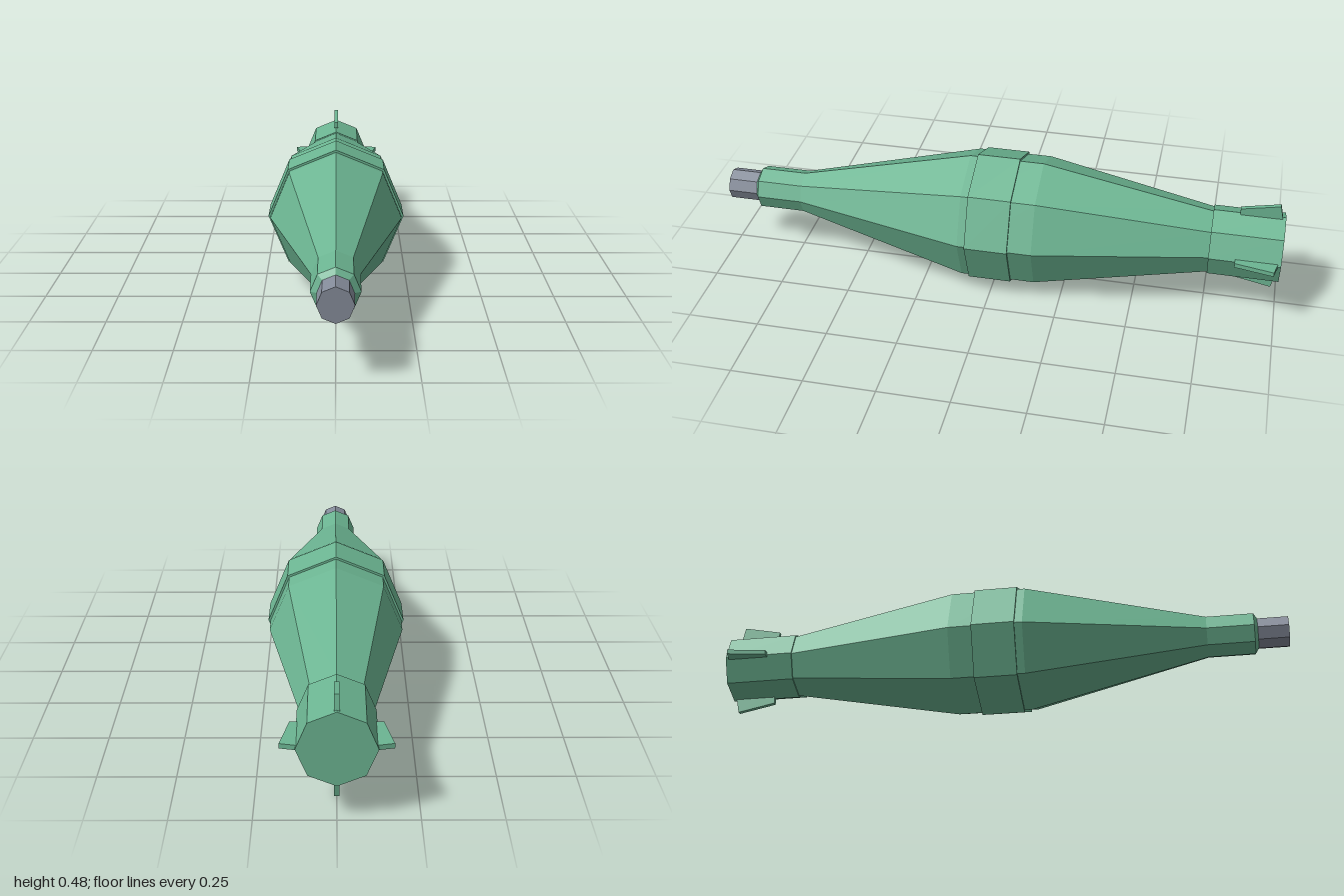
import * as THREE from 'three';

const AXIS_Y = 0.24;

// Eight-sided solid turned about the z axis; profile is [radius, z] from back to front
function turned(name, profile, material) {
  const geo = new THREE.LatheGeometry(profile.map(([r, z]) => new THREE.Vector2(r, z)), 8);
  geo.rotateX(Math.PI / 2);
  const mesh = new THREE.Mesh(geo, material);
  mesh.name = name;
  return mesh;
}

export function createModel() {
  const green = new THREE.MeshStandardMaterial({ color: 0x6cb592, flatShading: true });
  green.name = 'casing green';
  const grey = new THREE.MeshStandardMaterial({ color: 0x858c9a, flatShading: true });
  grey.name = 'fuse grey';

  const model = new THREE.Group();
  model.name = 'finnedShell';
  const shell = new THREE.Group();
  shell.name = 'shell';
  shell.position.y = AXIS_Y;
  model.add(shell);

  // Tapered body with a straight neck, raised middle band, tail drum and fuse
  shell.add(
    turned('body', [[0, -0.78], [0.113, -0.78], [0.116, -0.755], [0.23, -0.16], [0.23, 0.1],
      [0.076, 0.72], [0.076, 0.882], [0.056, 0.894], [0, 0.894]], green),
    turned('middleBand', [[0.2, -0.077], [0.238, -0.077], [0.238, 0.073], [0.2, 0.073]], green),
    turned('tailDrum', [[0, -1], [0.122, -1], [0.122, -0.755], [0, -0.755]], green),
    turned('fuse', [[0, 0.88], [0.056, 0.88], [0.056, 1], [0, 1]], grey),
  );

  // Four thin tail fins: outline drawn as (radius, z), then stood on the axis
  const outline = new THREE.Shape([[0.09, -0.845], [0.142, -0.845], [0.169, -0.978], [0.09, -0.995]]
    .map(([r, z]) => new THREE.Vector2(r, -z)));
  const finGeo = new THREE.ExtrudeGeometry(outline, { depth: 0.016, bevelEnabled: false });
  finGeo.translate(0, 0, -0.008);
  finGeo.rotateX(-Math.PI / 2);
  for (let i = 0; i < 4; i++) {
    const fin = new THREE.Mesh(finGeo, green);
    fin.name = 'tailFin' + (i + 1);
    fin.rotation.z = i * Math.PI / 2;
    shell.add(fin);
  }
  return model;
}
